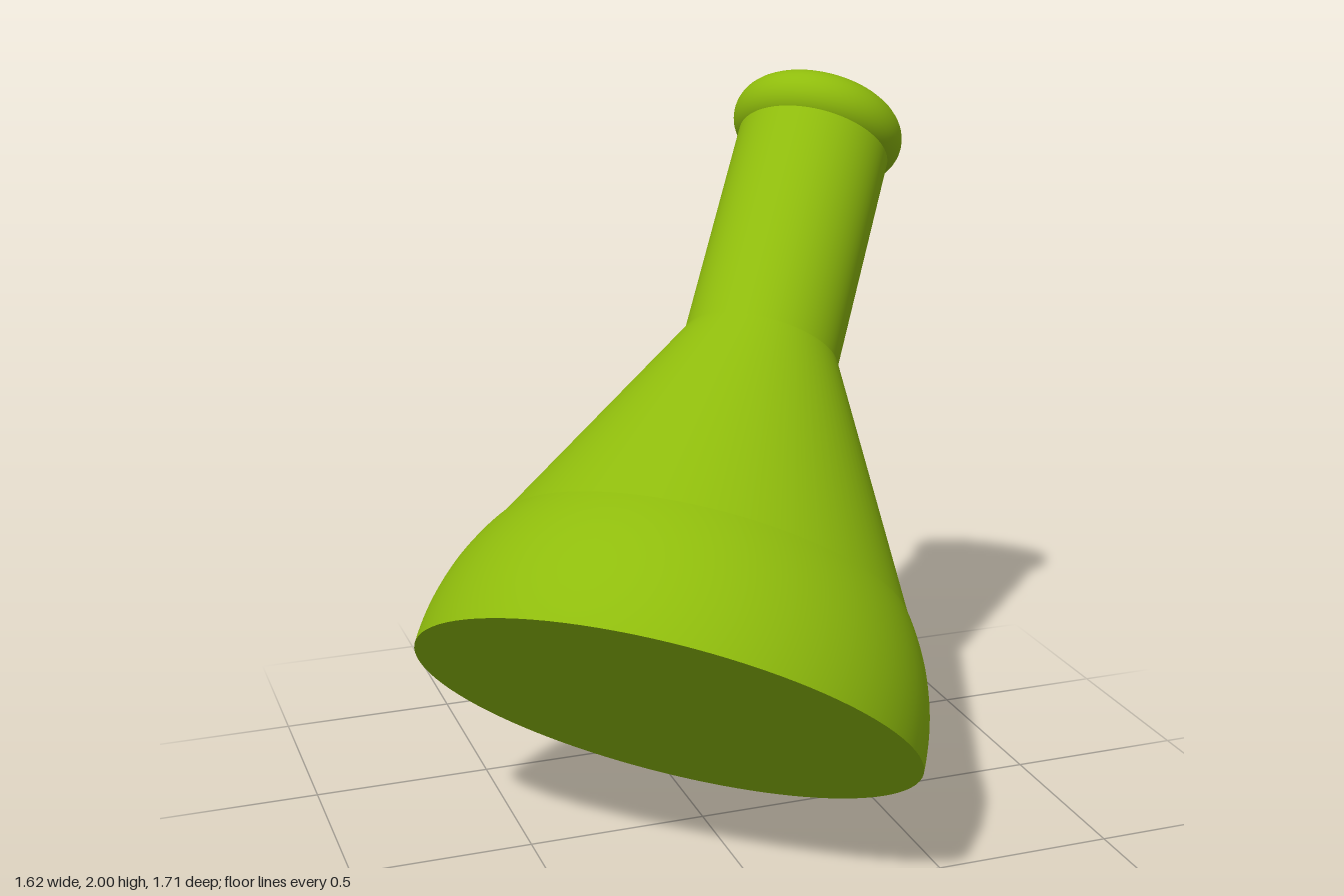
import * as THREE from 'three';

export function createModel() {
  const model = new THREE.Group();
  model.name = 'tiltedFlask';
  const green = new THREE.MeshStandardMaterial({ color: 0x8fbc0c });
  green.name = 'flaskGreen';

  // Upright flask, base centre at the origin; tilted as a whole at the end
  const flask = new THREE.Group();
  flask.name = 'flask';
  const add = (name, geometry, y = 0) => {
    const mesh = new THREE.Mesh(geometry, green);
    mesh.name = name;
    mesh.position.y = y;
    flask.add(mesh);
  };

  const baseR = 0.687, shoulderY = 0.39, neckY = 1.08, topY = 1.8, neckR = 0.22;
  const shoulderR = Math.sqrt(baseR ** 2 - shoulderY ** 2);
  const theta = Math.acos(shoulderY / baseR);

  // Flat underside
  add('base', new THREE.CircleGeometry(baseR, 96).rotateX(Math.PI / 2));
  // Bulging lower body, a slice of a sphere
  add('bulb', new THREE.SphereGeometry(baseR, 96, 20, 0, Math.PI * 2, theta, Math.PI / 2 - theta));
  // Conical body up to the neck
  add('cone', new THREE.CylinderGeometry(neckR, shoulderR, neckY - shoulderY, 96, 1, true), (neckY + shoulderY) / 2);
  // Straight neck, closed at the top inside the rim
  add('neck', new THREE.CylinderGeometry(neckR, neckR, topY - neckY, 96, 1, true), (topY + neckY) / 2);
  add('neckCap', new THREE.CircleGeometry(neckR, 96).rotateX(-Math.PI / 2), topY);
  // Rounded lip
  add('rim', new THREE.TorusGeometry(0.17, 0.078, 32, 96).rotateX(Math.PI / 2), topY);

  // Lean the flask back and to its left
  const axis = new THREE.Vector3(0.77, 1.36, -0.89).normalize();
  flask.quaternion.setFromUnitVectors(new THREE.Vector3(0, 1, 0), axis);
  flask.position.set(-0.19, 0.452, 0.255);
  model.add(flask);
  return model;
}
